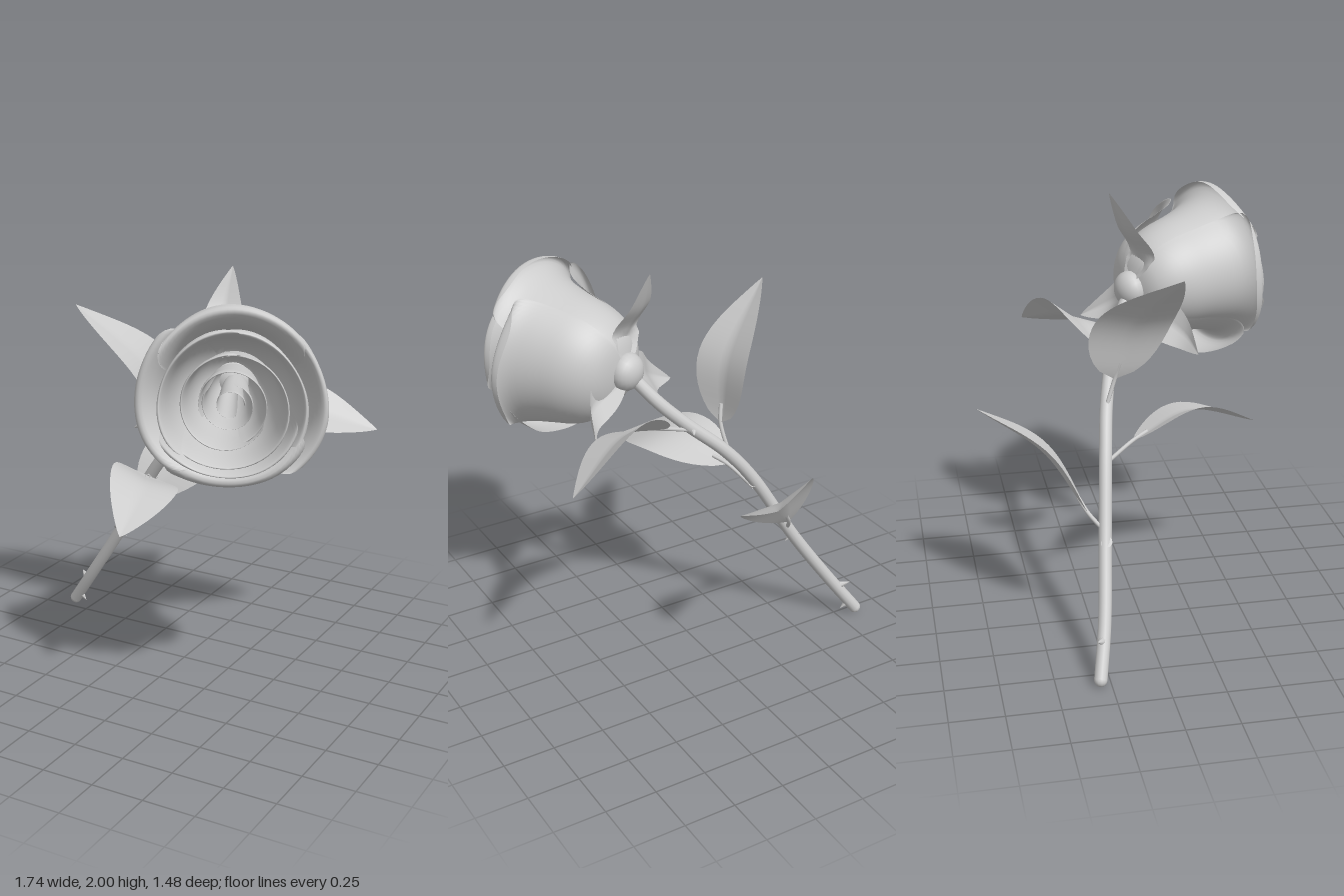
import * as THREE from 'three';

const V = (x, y, z) => new THREE.Vector3(x, y, z);
const material = new THREE.MeshStandardMaterial({ color: 0xcccccc, side: THREE.DoubleSide });

function add(parent, name, geometry) {
  const mesh = new THREE.Mesh(geometry, material);
  mesh.name = name;
  parent.add(mesh);
  return mesh;
}

// Grid surface: place(s, t) with s from -1 to 1 across and t from 0 to 1 along
function surface(nu, nv, place) {
  const geo = new THREE.PlaneGeometry(2, 1, nu, nv);
  const pos = geo.attributes.position;
  for (let i = 0; i < pos.count; i++) {
    const p = place(pos.getX(i), pos.getY(i) + 0.5);
    pos.setXYZ(i, p.x, p.y, p.z);
  }
  geo.computeVertexNormals();
  return geo;
}

// Pointed blade around a midrib; a larger peak moves the widest place to the tip
function blade(points, widthDir, half, fold, peak) {
  const rib = new THREE.CatmullRomCurve3(points);
  const across = widthDir.clone().normalize();
  return surface(10, 20, (s, t) => {
    const normal = rib.getTangentAt(t).cross(across).normalize();
    if (normal.y < 0) normal.negate();
    const w = half * Math.pow(Math.max(0, Math.sin(Math.PI * Math.pow(t, peak))), 0.9);
    return rib.getPointAt(t)
      .addScaledVector(across, s * w)
      .addScaledVector(normal, fold * w * (Math.abs(s) - 0.4));
  });
}

// Petal wrapped round the local y axis: cupped, with a flared, rolled rim and round corners
function petal({ angle, half, r, h, flare, roll, twist = 0.04, corner = 0.28 }) {
  const a0 = THREE.MathUtils.degToRad(angle);
  const span = THREE.MathUtils.degToRad(half);
  const profile = new THREE.SplineCurve([
    [0.15, 0], [0.5, 0.06], [0.74, 0.19], [0.89, 0.38], [0.98, 0.62], [1.02 + flare * 0.3, 0.85],
    [1.04 + flare * 0.8, 0.98 - roll * 0.2], [1.05 + flare * 1.1, 0.99 - roll * 0.5], [1.05 + flare * 1.15, 0.95 - roll],
  ].map(([x, y]) => new THREE.Vector2(x, y)));
  return surface(30, 24, (s, t) => {
    const p = profile.getPoint(t * (1 - corner * s ** 4));
    const a = a0 + s * span * (1 - 0.15 * t ** 4);
    const rim = t * t * t;
    const radius = r * (p.x * (1 + twist * s) + 0.03 * rim * Math.sin(4 * s + a0 * 3));
    const y = h * (p.y + 0.025 * rim * Math.cos(5 * s + a0));
    return V(Math.cos(a) * radius, y, Math.sin(a) * radius);
  });
}

export function createModel() {
  const model = new THREE.Group();
  model.name = 'rose';
  const base = V(0.285, 1.5, 0.055);

  // Stem with a rounded cut end
  const stem = new THREE.CatmullRomCurve3([
    V(-0.845, 0.03, -0.3), V(-0.7, 0.23, -0.255), V(-0.5, 0.52, -0.215), V(-0.27, 0.9, -0.17),
    V(-0.13, 1.07, -0.14), V(0.05, 1.23, -0.085), V(0.17, 1.35, -0.035), base,
  ]);
  add(model, 'stem', new THREE.TubeGeometry(stem, 60, 0.031, 12));
  add(model, 'stemEnd', new THREE.SphereGeometry(0.031, 12, 8)).position.copy(stem.getPoint(0));

  // Thorns: root in the stem and tip
  [
    [V(-0.82, 0.08, -0.29), V(-0.765, 0.035, -0.28)],
    [V(-0.74, 0.17, -0.265), V(-0.8, 0.2, -0.305)],
    [V(-0.51, 0.55, -0.21), V(-0.455, 0.495, -0.2)],
    [V(-0.28, 0.87, -0.175), V(-0.31, 0.81, -0.15)],
    [V(0.02, 1.2, -0.09), V(0.05, 1.2, -0.155)],
  ].forEach(([root, tip]) => {
    const dir = tip.clone().sub(root);
    const thorn = add(model, 'thorn', new THREE.ConeGeometry(0.028, dir.length(), 8));
    thorn.position.copy(root).addScaledVector(dir, 0.5);
    thorn.quaternion.setFromUnitVectors(V(0, 1, 0), dir.normalize());
  });

  // Leaves: stalk root, midrib, direction across, half width and widest place
  [
    { root: V(-0.46, 0.58, -0.21), rib: [V(-0.42, 0.66, -0.28), V(-0.24, 0.91, -0.45), V(-0.03, 1.06, -0.745)], across: V(1, -0.3, 0.1), half: 0.2, peak: 0.92 },
    { root: V(-0.28, 0.84, -0.17), rib: [V(-0.22, 0.92, -0.03), V(-0.07, 1.0, 0.27), V(0.02, 0.87, 0.63)], across: V(1, -0.3, -0.15), half: 0.17, peak: 0.8 },
    { root: V(-0.15, 1.05, -0.15), rib: [V(-0.13, 1.2, -0.1), V(-0.2, 1.48, -0.02), V(-0.51, 1.78, 0.14)], across: V(0.1, -0.12, 1), half: 0.185, peak: 0.66 },
    { root: V(0.0, 1.19, -0.1), rib: [V(0.16, 1.24, -0.1), V(0.45, 1.33, -0.2), V(0.815, 1.21, -0.42)], across: V(-0.2, 0.5, -0.85), half: 0.175, peak: 0.75 },
  ].forEach(({ root, rib, across, half, peak }) => {
    const leaf = new THREE.Group();
    leaf.name = 'leaf';
    add(leaf, 'leafBlade', blade(rib, across, half, 0.15, peak));
    const near = new THREE.CatmullRomCurve3(rib).getPointAt(0.12);
    add(leaf, 'leafStalk', new THREE.TubeGeometry(new THREE.CatmullRomCurve3([root, rib[0], near]), 14, 0.01, 8));
    model.add(leaf);
  });

  // Sepals spread behind the bloom
  [
    { rib: [V(0.28, 1.53, 0.04), V(0.26, 1.67, 0.1), V(0.22, 1.82, 0.02), V(0.22, 2, -0.06)], across: V(0.9, 0, -0.44), half: 0.1 },
    { rib: [V(0.27, 1.49, 0.04), V(0.12, 1.41, 0.17), V(0.03, 1.34, 0.27), V(-0.095, 1.28, 0.31)], across: V(0.2, 1, 0.35), half: 0.11 },
    { rib: [V(0.3, 1.48, 0.03), V(0.49, 1.38, 0.0), V(0.56, 1.29, -0.15)], across: V(0.1, 1, 0.25), half: 0.1 },
  ].forEach(({ rib, across, half }) => add(model, 'sepal', blade(rib, across, half, 0.2, 0.72)));

  // Bloom frame: local y points out of the flower
  const bloom = new THREE.Group();
  bloom.name = 'bloom';
  const axis = V(0.44, 0.07, 0.9).normalize();
  const down = V(0.9, 0, -0.44).cross(axis).normalize();
  const side = axis.clone().cross(down);
  bloom.quaternion.setFromRotationMatrix(new THREE.Matrix4().makeBasis(side, axis, down));
  bloom.position.copy(base);
  model.add(bloom);

  const hip = add(bloom, 'receptacle', new THREE.SphereGeometry(0.092, 20, 14));
  hip.scale.y = 0.8;

  // Outer petals with rolled rims; the lowest one folds far back
  [
    { angle: 0, half: 64, r: 0.335, h: 0.47, flare: 0.18, roll: 0.08 },
    { angle: -92, half: 68, r: 0.3, h: 0.56, flare: 0.28, roll: 0.06 },
    { angle: 178, half: 68, r: 0.285, h: 0.53, flare: 0.34, roll: 0.06 },
    { angle: 82, half: 66, r: 0.29, h: 0.51, flare: 0.3, roll: 0.32 },
  ].forEach((p) => add(bloom, 'outerPetal', petal(p)));

  // Middle petals
  [-40, 85, 205].forEach((angle, i) => add(bloom, 'middlePetal',
    petal({ angle, half: 80, r: 0.272 - i * 0.005, h: 0.59 + i * 0.01, flare: 0.12, roll: 0.03, corner: 0.18 })));

  // Inner petals wind into a spiral
  [0.22, 0.175, 0.13, 0.09, 0.05].forEach((r, i) => add(bloom, 'innerPetal',
    petal({ angle: 20 + i * 137, half: 125 + i * 10, r, h: 0.6 - i * 0.008, flare: 0.1, roll: 0.02, twist: 0.13, corner: 0.08 })));
  return model;
}
